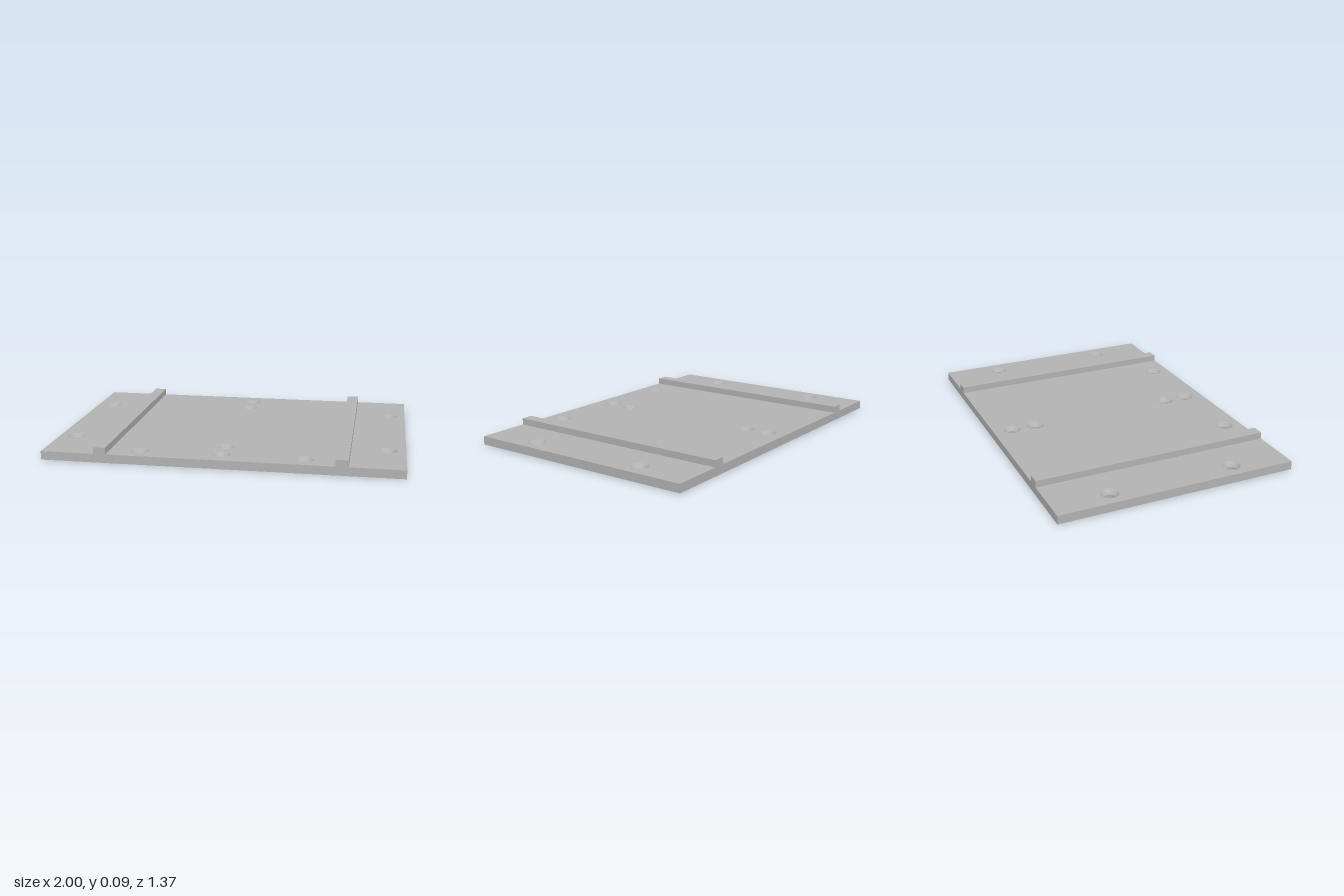
import * as THREE from 'three';
import { mergeGeometries } from 'three/addons/utils/BufferGeometryUtils.js';

const HALF_X = 1, HALF_Z = 0.687, PLATE = 0.049, RAIL_TOP = 0.087;
const RAIL_IN = 0.628, RAIL_OUT = 0.697;
const HEAD_R = 0.05, BORE_R = 0.027, SINK = 0.025;
const SIDES = 32;

// Hole centres as [x, z]
const HOLES = [];
for (const s of [-1, 1]) {
  HOLES.push([0, s * 0.432], [0, s * 0.576], [s * 0.459, 0.588]);
  HOLES.push([s * 0.904, -0.362], [s * 0.904, 0.362]);
}

// Horizontal sheet from x0 to x1 at height y, pierced by the holes inside it
function sheet(x0, x1, y, radius, up) {
  const sign = up ? -1 : 1;
  const shape = new THREE.Shape();
  shape.moveTo(x0, -HALF_Z).lineTo(x1, -HALF_Z).lineTo(x1, HALF_Z).lineTo(x0, HALF_Z).closePath();
  for (const [x, z] of HOLES) {
    if (x < x0 || x > x1) continue;
    const hole = new THREE.Path();
    hole.absarc(x, sign * z, radius, 0, Math.PI * 2, true);
    shape.holes.push(hole);
  }
  return new THREE.ShapeGeometry(shape, SIDES / 2).rotateX(sign * Math.PI / 2).translate(0, y, 0);
}

// Upright wall at x between two heights, facing +x or -x
function wall(x, y0, y1, facing) {
  return new THREE.PlaneGeometry(2 * HALF_Z, y1 - y0)
    .rotateY(facing * Math.PI / 2).translate(x, (y0 + y1) / 2, 0);
}

// Front or back end face, from x0 to x1 and y0 to y1
function ends(x0, x1, y0, y1) {
  return [0, 1].map((back) => new THREE.PlaneGeometry(x1 - x0, y1 - y0)
    .rotateY(back * Math.PI)
    .translate((x0 + x1) / 2, (y0 + y1) / 2, back ? -HALF_Z : HALF_Z));
}

export function createModel() {
  const group = new THREE.Group();
  const metal = new THREE.MeshStandardMaterial({ color: 0xb2b2b2 });
  metal.name = 'grey metal';

  const add = (name, geometry) => {
    const mesh = new THREE.Mesh(geometry, metal);
    mesh.name = name;
    group.add(mesh);
    return mesh;
  };

  // Base plate, left open under the rails
  add('basePlate', mergeGeometries([
    sheet(-HALF_X, HALF_X, 0, BORE_R, false),
    sheet(-HALF_X, -RAIL_OUT, PLATE, HEAD_R, true),
    sheet(-RAIL_IN, RAIL_IN, PLATE, HEAD_R, true),
    sheet(RAIL_OUT, HALF_X, PLATE, HEAD_R, true),
    wall(-HALF_X, 0, PLATE, -1),
    wall(HALF_X, 0, PLATE, 1),
    ...ends(-HALF_X, HALF_X, 0, PLATE),
  ]));

  // Two guide rails running front to back
  for (const [name, x0, x1] of [['rightRail', -RAIL_OUT, -RAIL_IN], ['leftRail', RAIL_IN, RAIL_OUT]]) {
    add(name, mergeGeometries([
      sheet(x0, x1, RAIL_TOP, HEAD_R, true),
      wall(x0, PLATE, RAIL_TOP, -1),
      wall(x1, PLATE, RAIL_TOP, 1),
      ...ends(x0, x1, PLATE, RAIL_TOP),
    ]));
  }

  // Countersunk screw holes: a cone above a straight bore, facing inward
  const ring = (r0, y0, r1, y1) =>
    new THREE.LatheGeometry([new THREE.Vector2(r0, y0), new THREE.Vector2(r1, y1)], SIDES);
  const holeWall = mergeGeometries([
    ring(HEAD_R, PLATE, BORE_R, PLATE - SINK),
    ring(BORE_R, PLATE - SINK, BORE_R, 0),
  ]);
  for (const [x, z] of HOLES) add('screwHole', holeWall).position.set(x, 0, z);

  return group;
}
